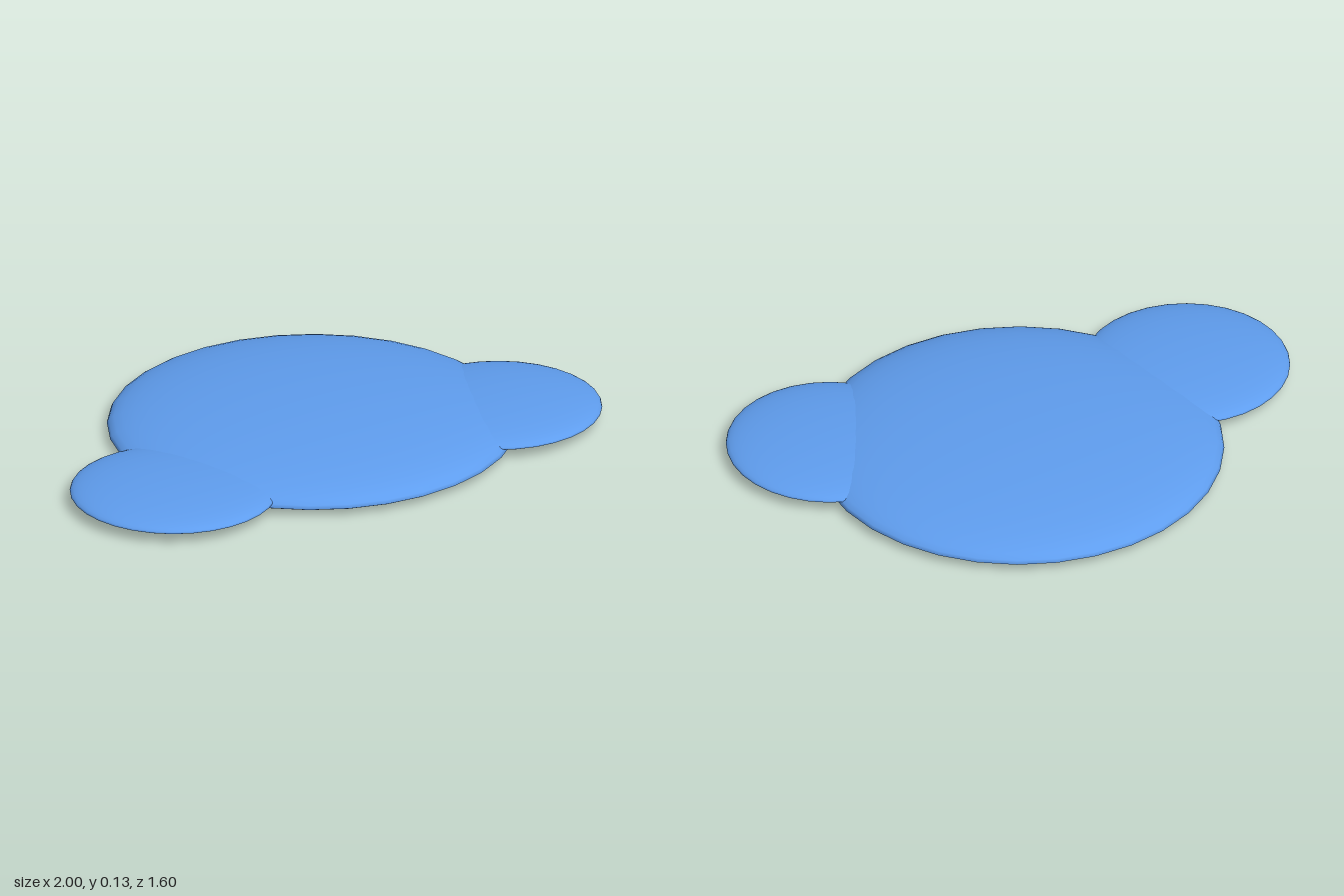
import * as THREE from 'three';

const water = new THREE.MeshStandardMaterial({ color: 0x5f9dee });

// Flattened round pool: a domed top over a much shallower underside
function pool(name, x, y, z, radius, top, bottom) {
  const geometry = new THREE.SphereGeometry(1, 32, 24);
  const p = geometry.attributes.position;
  const n = geometry.attributes.normal;
  const v = new THREE.Vector3();
  for (let i = 0; i < p.count; i++) {
    v.fromBufferAttribute(p, i);
    const height = v.y >= 0 ? top : bottom;
    p.setXYZ(i, v.x * radius, v.y * height, v.z * radius);
    v.set(v.x / radius, v.y / height, v.z / radius).normalize();
    n.setXYZ(i, v.x, v.y, v.z);
  }
  const mesh = new THREE.Mesh(geometry, water);
  mesh.name = name;
  mesh.position.set(x, y, z);
  return mesh;
}

export function createModel() {
  const puddle = new THREE.Group();
  puddle.name = 'puddle';
  puddle.add(
    pool('mainPool', -0.04, 0.032, -0.07, 0.73, 0.098, 0.029),
    pool('leftLobe', 0.63, 0.045, -0.07, 0.37, 0.048, 0.014),
    pool('rightLobe', -0.63, 0.045, 0.425, 0.37, 0.048, 0.014),
  );
  return puddle;
}
